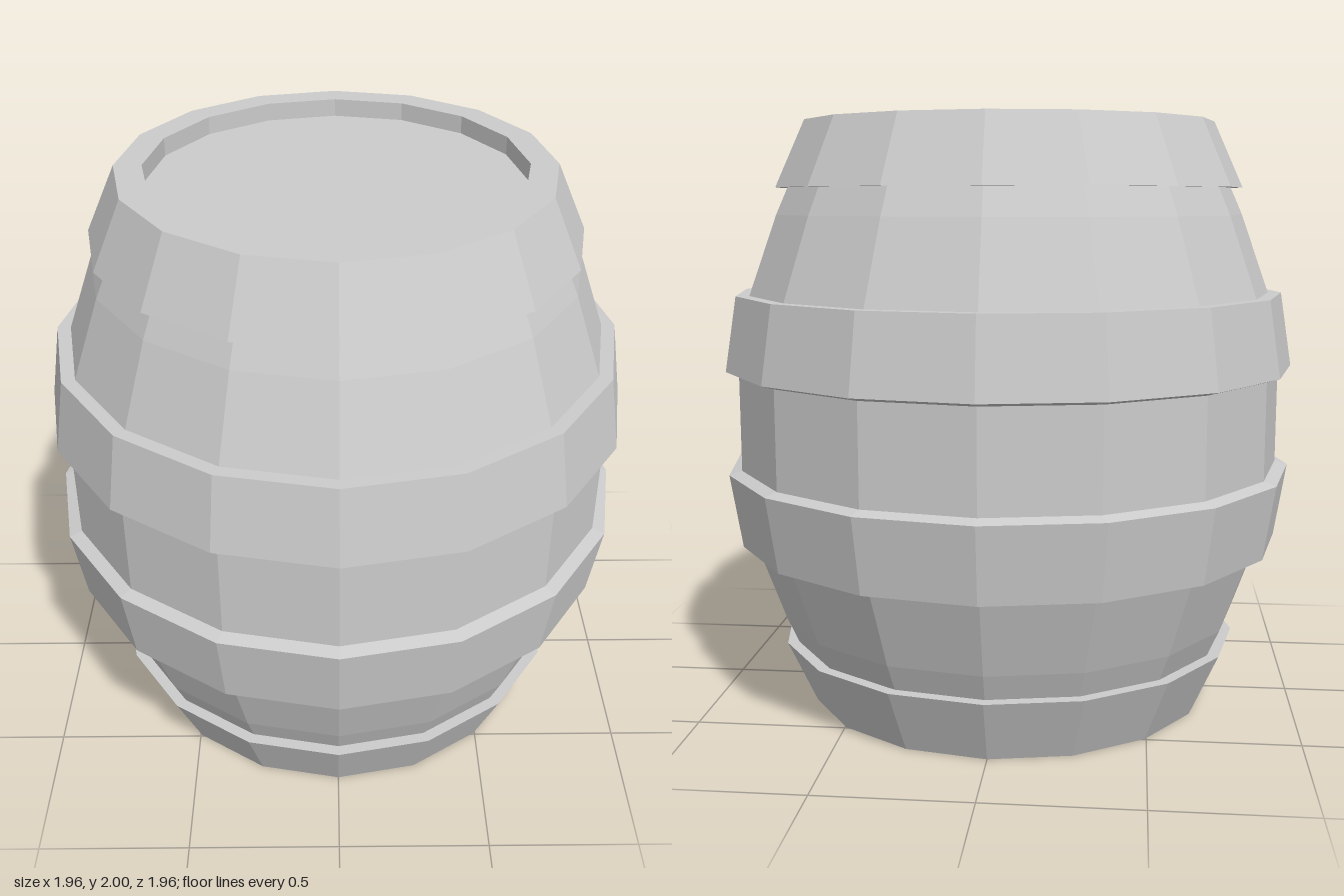
import * as THREE from 'three';

const SIDES = 16;
const HEIGHT = 2;

export function createModel() {
  const barrel = new THREE.Group();
  barrel.name = 'barrel';
  const material = new THREE.MeshStandardMaterial({ color: 0xcccccc, flatShading: true });

  // Turn a profile of [radius, y] pairs, listed from bottom to top on the outside
  const turn = (name, profile) => {
    const points = profile.map(([r, y]) => new THREE.Vector2(r, y));
    const mesh = new THREE.Mesh(new THREE.LatheGeometry(points, SIDES), material);
    mesh.name = name;
    barrel.add(mesh);
  };

  // Same part at both ends, the upper one mirrored about mid height
  const turnPair = (name, profile) => {
    turn('lower' + name, profile);
    turn('upper' + name, profile.map(([r, y]) => [r, HEIGHT - y]).reverse());
  };

  // Recessed lid with its inner rim wall
  turnPair('Lid', [[0, 0.06], [0.61, 0.06], [0.61, 0]]);
  // End hoop: flat rim, flared side and ledge
  turnPair('EndHoop', [[0.61, 0], [0.7, 0], [0.8, 0.22], [0.76, 0.22]]);
  // Curved staves between the hoops
  turnPair('Staves', [[0.76, 0.22], [0.8, 0.31], [0.895, 0.575]]);
  // Wide hoop with a sloped inner lip
  turnPair('MiddleHoop', [[0.895, 0.575], [0.94, 0.575], [0.98, 0.825], [0.937, 0.838]]);
  // Straight staves around the middle
  turn('middleStaves', [[0.937, 0.838], [0.937, HEIGHT - 0.838]]);

  return barrel;
}
